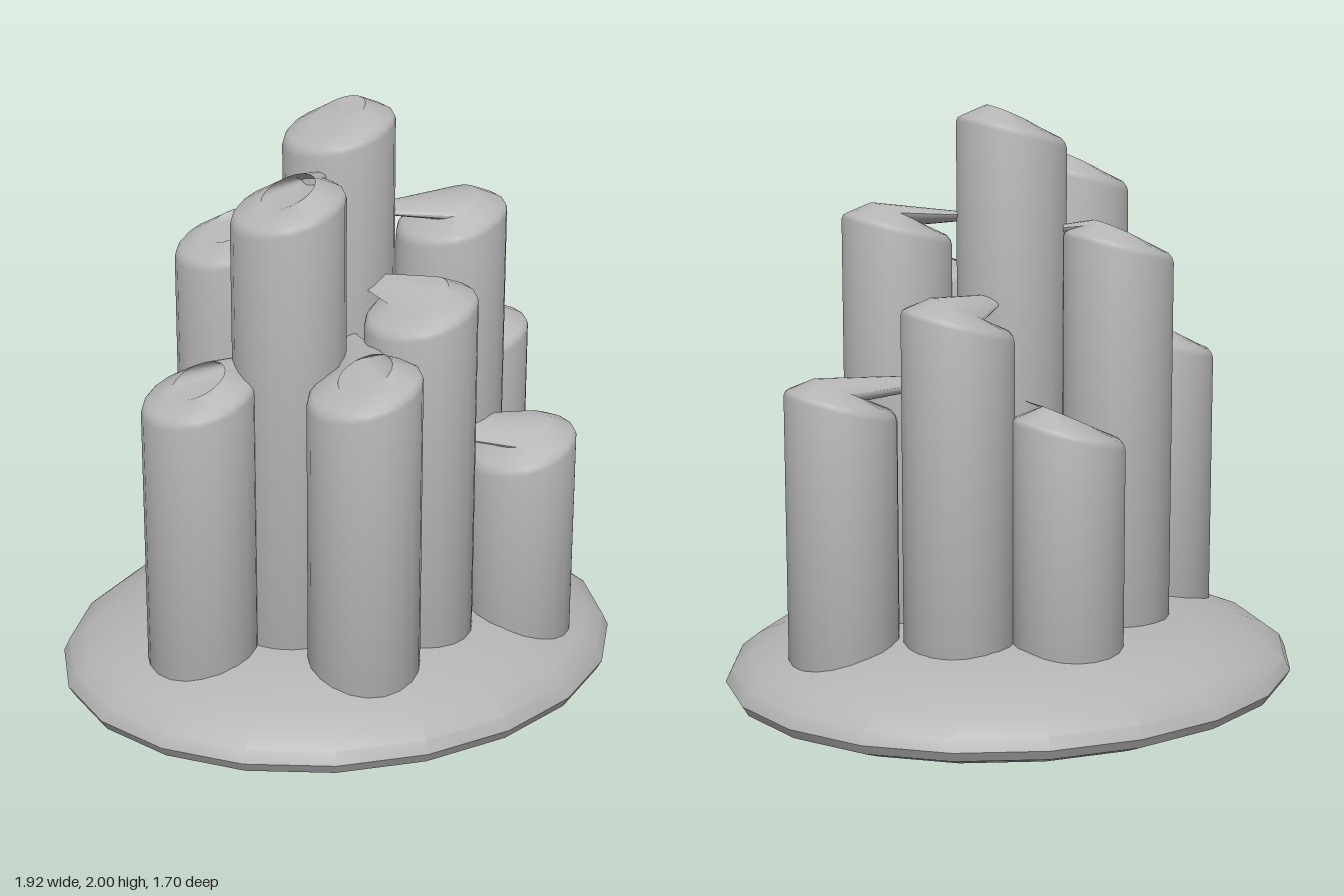
import * as THREE from 'three';
import { toCreasedNormals } from 'three/addons/utils/BufferGeometryUtils.js';

const SIDES = 20;
const stone = new THREE.MeshStandardMaterial({ color: 0xb4b4b4, side: THREE.DoubleSide });
stone.name = 'grey stone';

// Column rings from bottom to top: radius, height (from the ground or from the top), slope along x
const BOTTOM = [[0, 0], [0.15, 0.052], [0.17, 0.056], [0.178, 0.075]];
const TOP = [[0.178, -0.06, 0.28], [0.173, -0.045, 0.27], [0.16, -0.033, 0.26], [0.083, 0, 0.48], [0, 0, 0]];

// Column x, z and the height of its highest point
const COLUMNS = [
  [0, 0, 2.0],
  [0.01, -0.4, 1.1],
  [-0.28, -0.2, 1.64],
  [0.31, -0.23, 1.44],
  [0.62, -0.03, 1.18],
  [-0.595, 0.05, 1.26],
  [-0.31, 0.14, 1.83],
  [0.325, 0.17, 1.69],
  [-0.26, 0.45, 1.32],
  [0.03, 0.37, 1.49],
  [0.395, 0.45, 0.98],
];

function columnGeometry(cx, cz, peak) {
  const level = peak - 0.04;
  const rows = [...BOTTOM, ...TOP.map(([r, y, s]) => [r, level + y, s])];
  const geo = new THREE.LatheGeometry(rows.map(([r, y]) => new THREE.Vector2(r, y)), SIDES);
  const pos = geo.attributes.position;
  for (let i = 0; i < pos.count; i++) {
    const row = i % rows.length;
    const [r, y, slope = 0] = rows[row];
    if (r === 0) {
      // both end caps are drawn out to the middle axis, forming the spouts
      pos.setXYZ(i, 0, row === 0 ? 0.04 : level - 0.01, 0);
    } else {
      const x = pos.getX(i);
      pos.setXYZ(i, cx + x, y + slope * x, cz + pos.getZ(i));
    }
  }
  return toCreasedNormals(geo, 0.7);
}

export function createModel() {
  const group = new THREE.Group();
  group.name = 'columnCluster';

  // Oval base with a shallow cone underneath
  const profile = [
    [0, 0], [0.8, 0.068], [0.86, 0.08], [0.94, 0.112], [0.96, 0.145],
    [0.94, 0.185], [0.88, 0.23], [0.79, 0.268], [0.67, 0.31], [0.54, 0.335], [0, 0.335],
  ].map(([r, y]) => new THREE.Vector2(r, y));
  const baseGeo = new THREE.LatheGeometry(profile, SIDES);
  baseGeo.scale(1, 1, 0.885);
  const base = new THREE.Mesh(toCreasedNormals(baseGeo, 0.5), stone);
  base.name = 'base';
  group.add(base);

  // Upright columns with slanted, rounded tops
  COLUMNS.forEach(([x, z, peak], i) => {
    const column = new THREE.Mesh(columnGeometry(x, z, peak), stone);
    column.name = `column${i + 1}`;
    group.add(column);
  });

  return group;
}
